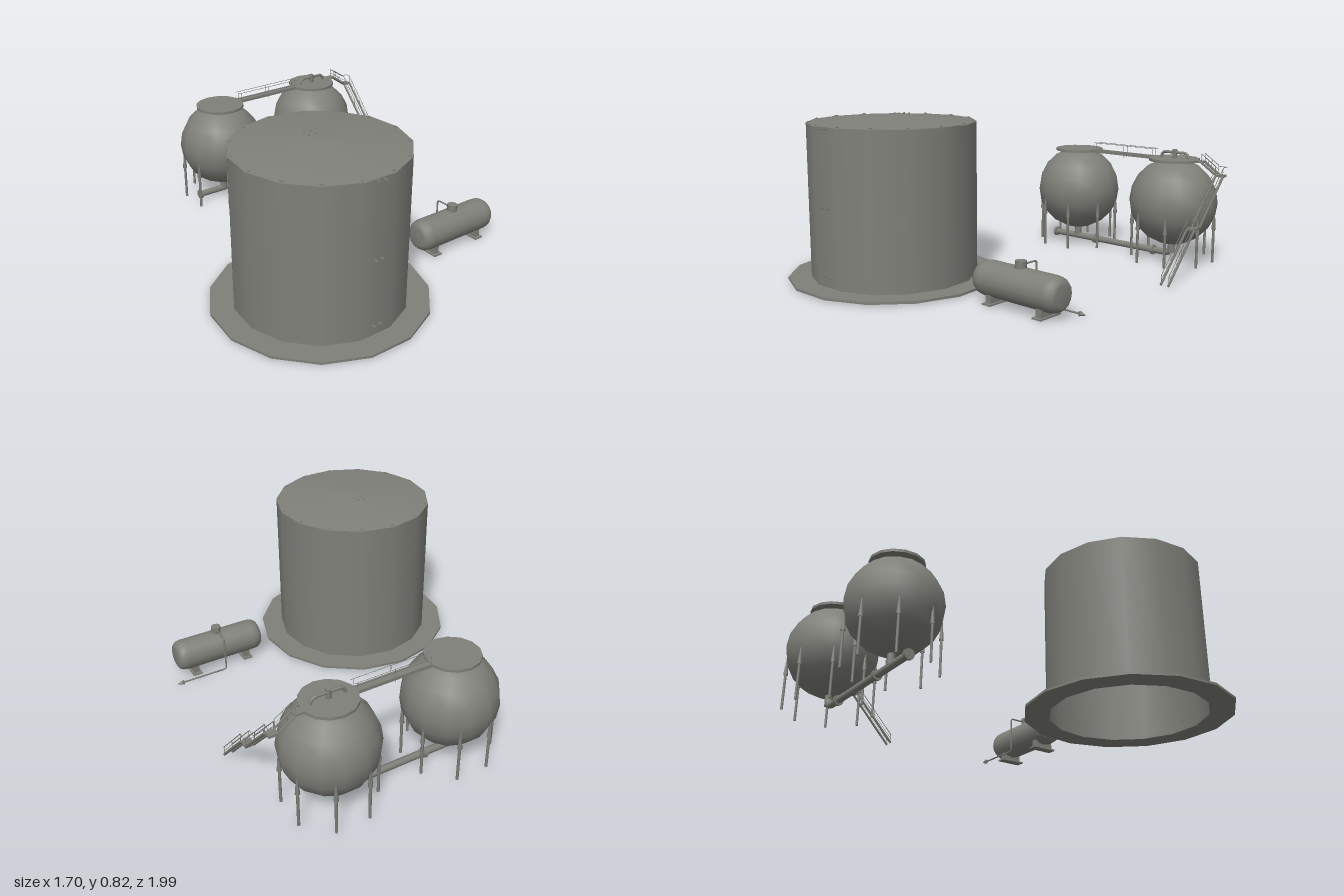
import * as THREE from 'three';
import { toCreasedNormals } from 'three/addons/utils/BufferGeometryUtils.js';

const steel = new THREE.MeshStandardMaterial({ color: 0x80807a, side: THREE.DoubleSide });
steel.name = 'weathered steel';

const V = (x, y, z) => new THREE.Vector3(x, y, z);

function add(parent, name, geometry, x = 0, y = 0, z = 0) {
  const mesh = new THREE.Mesh(geometry, steel);
  mesh.name = name;
  mesh.position.set(x, y, z);
  parent.add(mesh);
  return mesh;
}

function group(parent, name, x = 0, y = 0, z = 0) {
  const g = new THREE.Group();
  g.name = name;
  g.position.set(x, y, z);
  parent.add(g);
  return g;
}

const box = (parent, name, w, h, d, x, y, z) => add(parent, name, new THREE.BoxGeometry(w, h, d), x, y, z);

// Round bar between two points
function rod(parent, name, a, b, r, sides = 6) {
  const mesh = add(parent, name, new THREE.CylinderGeometry(r, r, a.distanceTo(b), sides));
  mesh.position.copy(a).lerp(b, 0.5);
  mesh.quaternion.setFromUnitVectors(V(0, 1, 0), b.clone().sub(a).normalize());
  return mesh;
}

// Pipe of straight runs with rounded elbows
function pipe(parent, name, pts, r, bend, sides = 8) {
  const path = new THREE.CurvePath();
  let from = pts[0];
  for (let i = 1; i < pts.length - 1; i++) {
    const p = pts[i];
    const a = p.clone().add(pts[i - 1].clone().sub(p).setLength(bend));
    const b = p.clone().add(pts[i + 1].clone().sub(p).setLength(bend));
    path.add(new THREE.LineCurve3(from, a));
    path.add(new THREE.QuadraticBezierCurve3(a, p, b));
    from = b;
  }
  path.add(new THREE.LineCurve3(from, pts[pts.length - 1]));
  return add(parent, name, new THREE.TubeGeometry(path, 64, r, sides));
}

const lathe = (pts, sides, start = 0) =>
  new THREE.LatheGeometry(pts.map(p => new THREE.Vector2(p[0], p[1])), sides, start);

function storageTank(root) {
  const g = group(root, 'storageTank', -0.317, 0, 0.468);
  // Flat ring around the foot, open in the middle
  add(g, 'tankFooting', toCreasedNormals(lathe(
    [[0.405, 0.01], [0.534, 0.01], [0.534, 0.022], [0.405, 0.022], [0.405, 0.01]], 15, Math.PI), 0.5));
  add(g, 'tankWall', lathe([[0.42, 0.012], [0.42, 0.795]], 15, Math.PI));
  add(g, 'tankRoof', lathe([[0.42, 0.79], [0.42, 0.796], [0.25, 0.811], [0.075, 0.825], [0, 0.826]], 15, Math.PI));
  // Rim bolts
  for (let i = 0; i < 15; i++) {
    const a = Math.PI + (i / 15) * Math.PI * 2;
    box(g, 'rimBolt', 0.012, 0.01, 0.012, Math.sin(a) * 0.405, 0.796, Math.cos(a) * 0.405);
  }
  // Small brackets up the front and beside the roof cap
  for (const x of [-0.018, 0.018]) {
    for (const y of [0.075, 0.41, 0.785]) box(g, 'wallBracket', 0.007, 0.007, 0.025, x, y, 0.42);
    for (const z of [-0.095, -0.06]) box(g, 'roofBracket', 0.007, 0.008, 0.007, x, 0.826, z);
  }
}

function sphereTank(root, x) {
  const g = group(root, 'sphereTank', x, 0, -0.77);
  add(g, 'sphereShell', new THREE.SphereGeometry(0.237, 14, 10), 0, 0.328, 0);
  // Round top platform
  add(g, 'topPlatform', toCreasedNormals(new THREE.CylinderGeometry(0.135, 0.135, 0.014, 14), 0.6), 0, 0.556, 0);
  // Eight legs with tapered heads
  for (let i = 0; i < 8; i++) {
    const a = (i + 0.5) * Math.PI / 4;
    const lx = Math.sin(a) * 0.222, lz = Math.cos(a) * 0.222;
    add(g, 'leg', new THREE.CylinderGeometry(0.007, 0.007, 0.19, 6), lx, 0.1, lz);
    add(g, 'legHead', new THREE.CylinderGeometry(0.004, 0.012, 0.09, 6), lx, 0.232, lz);
  }
  // Outlet under the shell
  add(g, 'outletNeck', new THREE.CylinderGeometry(0.02, 0.02, 0.07, 8), 0, 0.075, 0);
}

function walkway(root) {
  const g = group(root, 'walkway');
  for (const z of [-0.79, -0.755]) {
    box(g, 'walkwayBeam', 0.4, 0.016, 0.008, 0.225, 0.555, z);
    rod(g, 'handrail', V(0.02, 0.603, z), V(0.43, 0.603, z), 0.0015, 4);
    for (const x of [0.035, 0.225, 0.415]) rod(g, 'railPost', V(x, 0.535, z), V(x, 0.605, z), 0.0015, 4);
  }
  box(g, 'walkwayDeck', 0.4, 0.004, 0.03, 0.225, 0.556, -0.772);
}

// One flight: a pair of thin stringers with handrails and posts
function flight(g, a, b, offset) {
  const up = V(0, 0.045, 0);
  for (const s of [-1, 1]) {
    const p = a.clone().addScaledVector(offset, s), q = b.clone().addScaledVector(offset, s);
    rod(g, 'stairStringer', p, q, 0.007, 4);
    rod(g, 'stairRail', p.clone().add(up), q.clone().add(up), 0.002, 4);
    rod(g, 'stairMidRail', p.clone().addScaledVector(up, 0.5), q.clone().addScaledVector(up, 0.5), 0.001, 4);
    for (const t of [0.02, 0.5, 0.98]) {
      const f = p.clone().lerp(q, t);
      rod(g, 'stairPost', f, f.clone().add(up), 0.0015, 4);
    }
  }
}

function stairs(root) {
  const g = group(root, 'stairs');
  box(g, 'upperLanding', 0.045, 0.01, 0.04, 0.7, 0.557, -0.78);
  box(g, 'cornerLanding', 0.045, 0.012, 0.04, 0.822, 0.495, -0.78);
  box(g, 'middleLanding', 0.045, 0.012, 0.05, 0.822, 0.256, -0.52);
  flight(g, V(0.715, 0.557, -0.78), V(0.8, 0.5, -0.78), V(0, 0, 0.018));
  flight(g, V(0.8225, 0.495, -0.765), V(0.8225, 0.26, -0.545), V(0.021, 0, 0));
  flight(g, V(0.8225, 0.255, -0.497), V(0.8225, 0.013, -0.272), V(0.021, 0, 0));
  // Landing rails
  rod(g, 'landingRail', V(0.845, 0.54, -0.8), V(0.845, 0.54, -0.76), 0.0015, 4);
  rod(g, 'landingRail', V(0.8, 0.54, -0.8), V(0.845, 0.54, -0.8), 0.0015, 4);
  for (const x of [0.8, 0.845]) rod(g, 'landingRail', V(x, 0.3, -0.55), V(x, 0.3, -0.495), 0.0015, 4);
}

function transferPipes(root) {
  const g = group(root, 'transferPipes');
  // Low main running under both spheres
  pipe(g, 'lowMain', [V(0.545, 0.09, -0.77), V(0.545, 0.036, -0.77), V(-0.26, 0.036, -0.77)], 0.018, 0.045);
  for (const x of [-0.26, 0.43, 0.03]) {
    const flange = add(g, 'pipeFlange', new THREE.CylinderGeometry(0.027, 0.027, 0.014, 10), x, 0.036, -0.77);
    flange.rotation.z = Math.PI / 2;
  }
  // Vent pipe on the stair-side sphere
  pipe(g, 'ventPipe', [V(0.462, 0.56, -0.77), V(0.475, 0.594, -0.77), V(0.625, 0.594, -0.77), V(0.638, 0.56, -0.77)], 0.008, 0.02);
  add(g, 'ventValve', new THREE.CylinderGeometry(0.013, 0.013, 0.05, 8), 0.548, 0.585, -0.77);
}

function bulletTank(root) {
  const g = group(root, 'bulletTank', 0.548, 0.12, 0.472);
  const shell = add(g, 'bulletShell', lathe([[0, -0.244], [0.05, -0.243], [0.068, -0.235], [0.08, -0.217], [0.084, -0.19],
    [0.084, 0.19], [0.08, 0.217], [0.068, 0.235], [0.05, 0.243], [0, 0.244]], 16));
  shell.rotation.z = -Math.PI / 2;
  // Filler dome
  add(g, 'fillerDome', toCreasedNormals(new THREE.CylinderGeometry(0.027, 0.027, 0.045, 8), 0.9), 0, 0.093, 0);
  // Saddles
  for (const x of [-0.15, 0.15]) {
    box(g, 'saddle', 0.03, 0.05, 0.11, x, -0.08, 0);
    box(g, 'saddleFoot', 0.05, 0.008, 0.14, x, -0.106, 0);
  }
  // Delivery line with end valve
  pipe(g, 'deliveryLine', [V(0, 0.095, 0), V(0, 0.095, -0.107), V(0, -0.1, -0.107), V(0.27, -0.1, -0.107)], 0.0045, 0.015, 6);
  const nozzle = add(g, 'deliveryNozzle', new THREE.ConeGeometry(0.01, 0.03, 8), 0.272, -0.1, -0.107);
  nozzle.rotation.z = -Math.PI / 2;
  box(g, 'deliveryValve', 0.008, 0.02, 0.014, 0.25, -0.1, -0.107);
}

export function createModel() {
  const root = new THREE.Group();
  root.name = 'tankFarm';
  storageTank(root);
  for (const x of [-0.1, 0.547]) sphereTank(root, x);
  walkway(root);
  stairs(root);
  transferPipes(root);
  bulletTank(root);
  return root;
}
